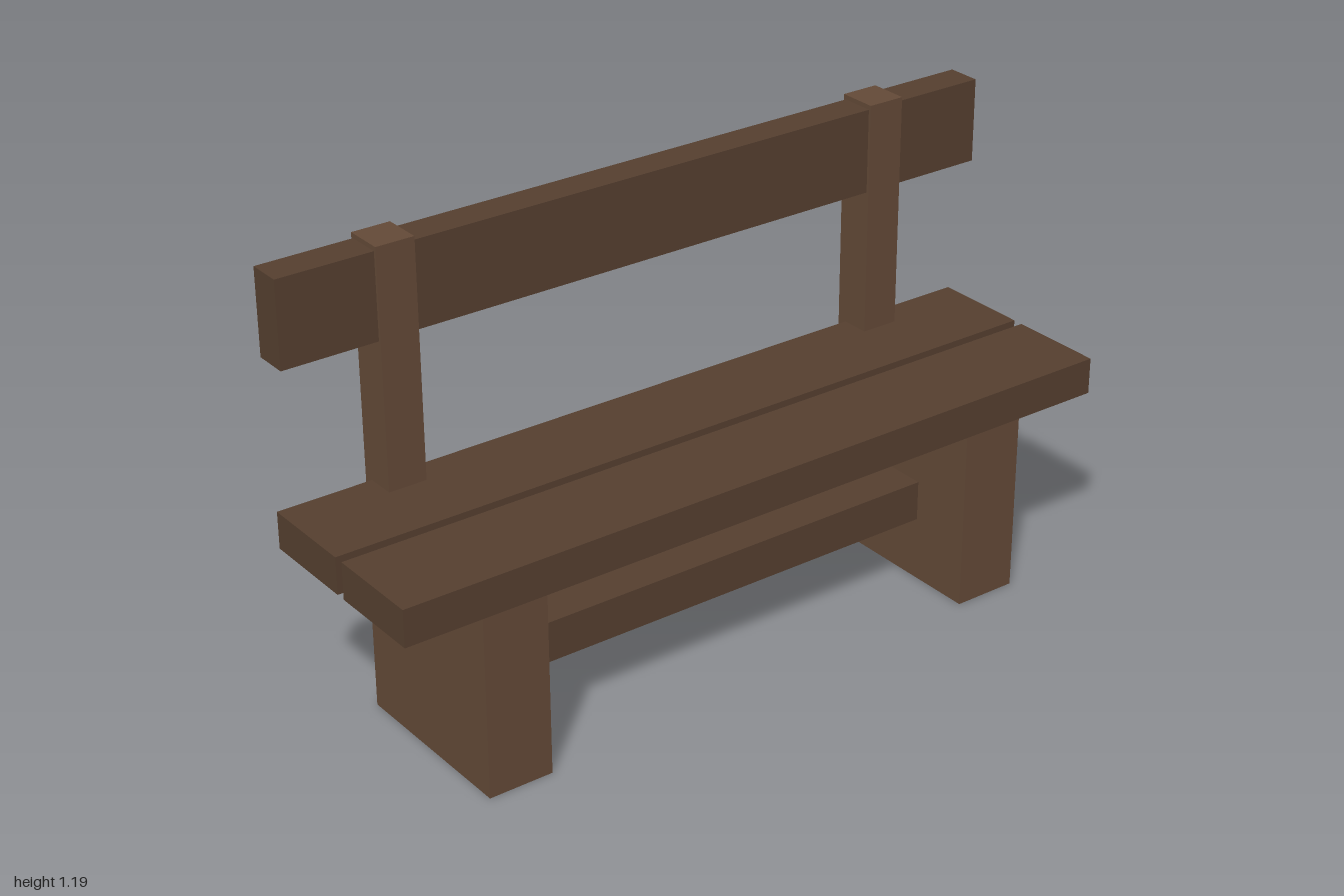
import * as THREE from 'three';

export function createModel() {
  const bench = new THREE.Group();
  bench.name = 'bench';
  const plankWood = new THREE.MeshStandardMaterial({ color: 0x553f2f });
  const frameWood = new THREE.MeshStandardMaterial({ color: 0x634937 });

  // Box timber given by its extents on each axis
  function timber(name, material, [x0, x1], [y0, y1], [z0, z1]) {
    const mesh = new THREE.Mesh(new THREE.BoxGeometry(x1 - x0, y1 - y0, z1 - z0), material);
    mesh.position.set((x0 + x1) / 2, (y0 + y1) / 2, (z0 + z1) / 2);
    mesh.name = name;
    bench.add(mesh);
  }

  // Seat planks, with a narrow gap between them
  timber('frontSeatPlank', plankWood, [-1, 1], [0.487, 0.582], [0.028, 0.28]);
  timber('backSeatPlank', plankWood, [-1, 1], [0.487, 0.582], [-0.253, 0.002]);

  // Backrest board and stretcher between the legs
  timber('backrestBoard', plankWood, [-1, 1], [0.96, 1.178], [-0.273, -0.185]);
  timber('stretcher', plankWood, [-0.64, 0.64], [0.168, 0.274], [-0.056, 0.086]);

  // Slab legs and backrest posts, mirrored left and right
  for (const [side, s] of [['left', 1], ['right', -1]]) {
    const span = (a, b) => (s > 0 ? [a, b] : [-b, -a]);
    timber(side + 'Leg', frameWood, span(0.618, 0.788), [0, 0.497], [-0.228, 0.257]);
    timber(side + 'BackrestPost', frameWood, span(0.652, 0.752), [0.463, 1.19], [-0.28, -0.178]);
  }
  return bench;
}
